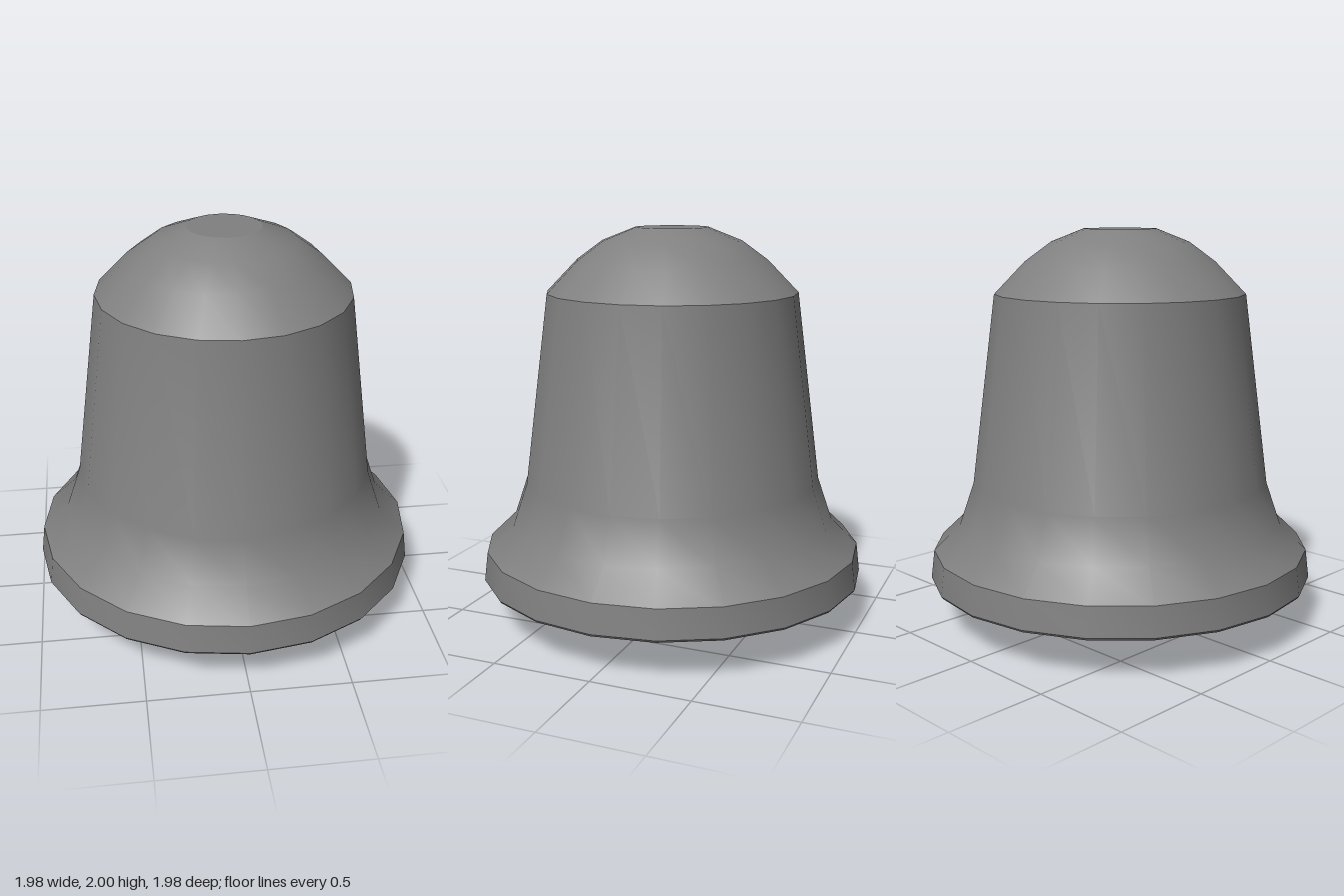
import * as THREE from 'three';
import { toCreasedNormals } from 'three/addons/utils/BufferGeometryUtils.js';

const metal = new THREE.MeshStandardMaterial({ color: 0x808080 });
metal.name = 'grey metal';

// Revolves a profile of [radius, height] pairs; points run upward for outward faces
function lathe(name, profile, sides) {
  const points = profile.map(([r, y]) => new THREE.Vector2(r, y));
  const mesh = new THREE.Mesh(new THREE.LatheGeometry(points, sides), metal);
  mesh.name = name;
  return mesh;
}

export function createModel() {
  const model = new THREE.Group();
  model.name = 'bell';
  const sides = 20;

  // Outer wall from rim to crown, sharp at the lip and shoulder
  const outerWall = lathe('outerWall', [
    [0.96, 0.215], [0.98, 0.213], [0.988, 0.225], [0.97, 0.37], [0.835, 0.5],
    [0.76, 0.72], [0.635, 1.68], [0.48, 1.84], [0.35, 1.935], [0.185, 2],
  ], sides);
  outerWall.geometry = toCreasedNormals(outerWall.geometry, 0.55);

  const crownCap = lathe('crownCap', [[0.185, 2], [0, 2]], sides);

  // Hollow inside, running downward so it faces inward
  const innerWall = lathe('innerWall', [[0, 1.25], [0.96, 0.215]], sides);

  // Clapper hanging from the inside of the bell
  const clapper = new THREE.Group();
  clapper.name = 'clapper';
  clapper.add(
    lathe('clapperTip', [[0, 0], [0.08, 0.09]], 12),
    lathe('clapperBall', [[0.08, 0.09], [0.115, 0.175], [0.115, 0.23], [0.075, 0.35]], 12),
    lathe('clapperRod', [[0.075, 0.35], [0.075, 1.25]], 12)
  );

  model.add(outerWall, crownCap, innerWall, clapper);
  return model;
}
